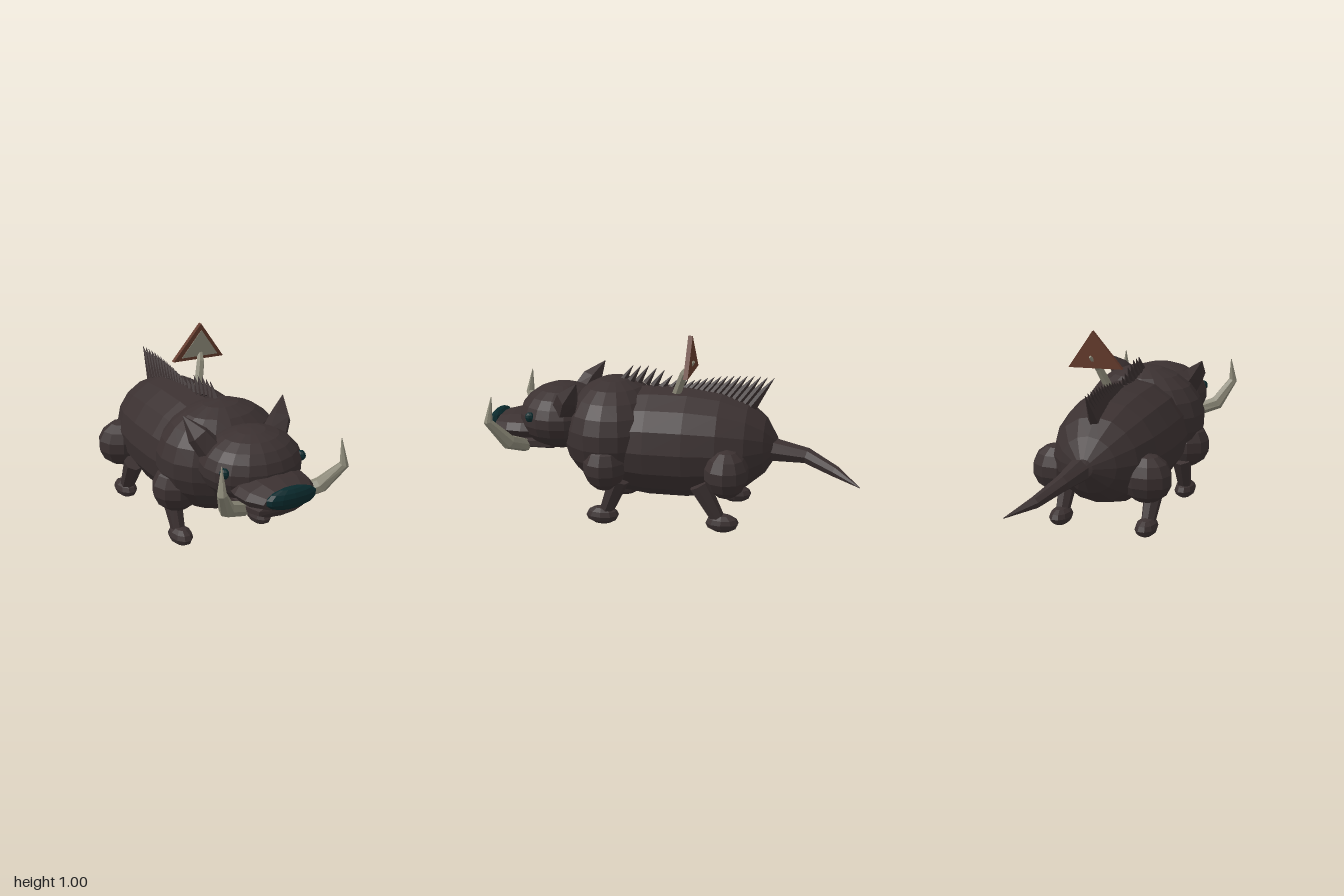
import * as THREE from 'three';

const mat = (name, color) => {
  const m = new THREE.MeshStandardMaterial({ color, flatShading: true });
  m.name = name;
  return m;
};

export function createModel() {
  const hide = mat('dark hide', 0x3b3131);
  const ivory = mat('ivory', 0x8d8a79);
  const teal = mat('dark teal', 0x0a2a2d);
  const wood = mat('brown wood', 0x633a2b);

  const root = new THREE.Group();
  root.name = 'boar';

  const add = (name, geo, material, pos = [0, 0, 0], parent = root) => {
    const m = new THREE.Mesh(geo, material);
    m.name = name;
    m.position.set(...pos);
    parent.add(m);
    return m;
  };

  // Faceted ellipsoid
  const ball = (name, pos, r, material = hide, w = 14, h = 9, parent = root) =>
    add(name, new THREE.SphereGeometry(1, w, h).scale(...r), material, pos, parent);

  // Lathe lying along z; profile entries are [z, radius]
  const barrel = (name, pos, profile, sx, sy, sides) => {
    const pts = profile.map(([z, r]) => new THREE.Vector2(r, z));
    const geo = new THREE.LatheGeometry(pts, sides).rotateX(Math.PI / 2).scale(sx, sy, 1);
    return add(name, geo, hide, pos);
  };

  // Tapered limb through points [x, y, z, radius]
  const limb = (name, path, material, sides = 7, parent = root) => {
    const p = path.map(([x, y, z]) => new THREE.Vector3(x, y, z));
    const n = p.length;
    const rings = path.map((q, i) => ({ i, r: q[3] }));
    rings.unshift({ i: 0, r: 0 });
    rings.push({ i: n - 1, r: 0 });
    const pos = [], idx = [];
    rings.forEach(({ i, r }, k) => {
      const t = p[Math.min(i + 1, n - 1)].clone().sub(p[Math.max(i - 1, 0)]).normalize();
      const ref = Math.abs(t.x) > 0.9 ? new THREE.Vector3(0, 1, 0) : new THREE.Vector3(1, 0, 0);
      const v = t.clone().cross(ref).normalize();
      const u = v.clone().cross(t);
      for (let j = 0; j < sides; j++) {
        const a = (j / sides) * Math.PI * 2;
        const q = p[i].clone().addScaledVector(u, r * Math.cos(a)).addScaledVector(v, r * Math.sin(a));
        pos.push(q.x, q.y, q.z);
        if (k === 0) continue;
        const j2 = (j + 1) % sides, A = (k - 1) * sides, B = k * sides;
        idx.push(A + j, A + j2, B + j2, A + j, B + j2, B + j);
      }
    });
    const geo = new THREE.BufferGeometry();
    geo.setAttribute('position', new THREE.Float32BufferAttribute(pos, 3));
    geo.setIndex(idx);
    geo.computeVertexNormals();
    return add(name, geo, material, [0, 0, 0], parent);
  };

  // Trunk, chest and head
  barrel('body', [0, 0.41, 0], [
    [-0.57, 0], [-0.56, 0.16], [-0.5, 0.5], [-0.41, 0.76], [-0.27, 0.93], [-0.1, 1],
    [0.1, 1], [0.27, 0.93], [0.41, 0.76], [0.5, 0.5], [0.56, 0.16], [0.57, 0],
  ], 0.3, 0.293, 16);
  ball('chest', [0, 0.455, 0.31], [0.34, 0.287, 0.27], hide, 18, 11);
  ball('head', [0, 0.52, 0.6], [0.262, 0.176, 0.228], hide, 18, 11);

  // Muzzle
  barrel('snout', [0, 0.465, 0], [
    [0.62, 0], [0.66, 0.18], [0.78, 0.2], [0.86, 0.19], [0.94, 0.14], [0.95, 0],
  ], 1, 0.38, 12);
  barrel('lowerJaw', [0, 0.39, 0], [
    [0.6, 0], [0.63, 0.17], [0.78, 0.17], [0.88, 0.13], [0.9, 0],
  ], 1, 0.28, 10);
  ball('nose', [0, 0.482, 0.957], [0.14, 0.055, 0.04], teal, 12, 7);

  for (const s of [1, -1]) {
    const side = s > 0 ? 'left' : 'right';

    // Face details
    ball(side + 'Eye', [s * 0.215, 0.55, 0.715], [0.024, 0.027, 0.027], teal, 8, 6);
    limb(side + 'Ear', [
      [s * 0.185, 0.6, 0.53, 0.07], [s * 0.235, 0.67, 0.5, 0.058], [s * 0.285, 0.757, 0.44, 0.002],
    ], hide, 5);
    limb(side + 'Tusk', [
      [s * 0.14, 0.375, 0.77, 0.036], [s * 0.265, 0.425, 0.82, 0.04],
      [s * 0.338, 0.55, 0.9, 0.024], [s * 0.33, 0.68, 0.88, 0.002],
    ], ivory, 7);

    // Legs: joint mass, shin and hoof
    for (const [end, jointZ, kneeZ, footZ] of [['Front', 0.305, 0.235, 0.325], ['Hind', -0.33, -0.19, -0.31]]) {
      const leg = new THREE.Group();
      leg.name = side + end + 'Leg';
      root.add(leg);
      ball('upperLeg', [s * 0.243, 0.32, jointZ], [0.135, 0.128, 0.115], hide, 10, 7, leg);
      limb('shin', [
        [s * 0.24, 0.25, kneeZ, 0.055], [s * 0.238, 0.06, footZ - Math.sign(footZ) * 0.015, 0.036],
      ], hide, 7, leg);
      ball('hoof', [s * 0.237, 0.05, footZ], [0.057, 0.048, 0.088], hide, 10, 6, leg);
    }
  }

  // Tail
  limb('tail', [
    [0.02, 0.4, -0.48, 0.07], [0.045, 0.378, -0.72, 0.042],
    [0.115, 0.325, -0.87, 0.03], [0.215, 0.28, -1, 0.002],
  ], hide, 7);

  // Mane of swept-back bristles: a front row and a growing rear row
  const mane = new THREE.Group();
  mane.name = 'mane';
  root.add(mane);
  for (let i = 0; i < 8; i++) {
    const z = 0.265 - i * 0.042, y = 0.72 - Math.max(0, i - 2) * 0.01;
    const len = i < 5 ? 0.085 : 0.07;
    limb('frontBristle', [[0, y, z, 0.022], [0, y + len, z - 0.055, 0.001]], hide, 5, mane);
  }
  for (let i = 0; i < 13; i++) {
    const f = i / 12, z = -0.07 - f * 0.35, y = 0.69 - f * f * 0.07;
    limb('rearBristle', [
      [0, y, z, 0.02 + f * 0.014], [0, y + 0.05 + f * 0.1, z - 0.05 - f * 0.065, 0.001],
    ], hide, 5, mane);
  }

  // Triangular sign on a bent post
  const sign = new THREE.Group();
  sign.name = 'sign';
  root.add(sign);
  const triangle = (name, pts, depth, z, material) => {
    const shape = new THREE.Shape(pts.map(([x, y]) => new THREE.Vector2(x, y)));
    add(name, new THREE.ExtrudeGeometry(shape, { depth, bevelEnabled: false }), material, [0, 0, z], sign);
  };
  triangle('signBoard', [[-0.035, 0.812], [0.264, 0.802], [0.129, 1]], 0.023, -0.132, wood);
  triangle('signFace', [[0.012, 0.827], [0.228, 0.82], [0.13, 0.965]], 0.004, -0.11, ivory);
  limb('signPost', [
    [0.06, 0.65, -0.025, 0.026], [0.112, 0.8, -0.085, 0.022], [0.138, 0.868, -0.14, 0.008],
  ], ivory, 6, sign);

  return root;
}
